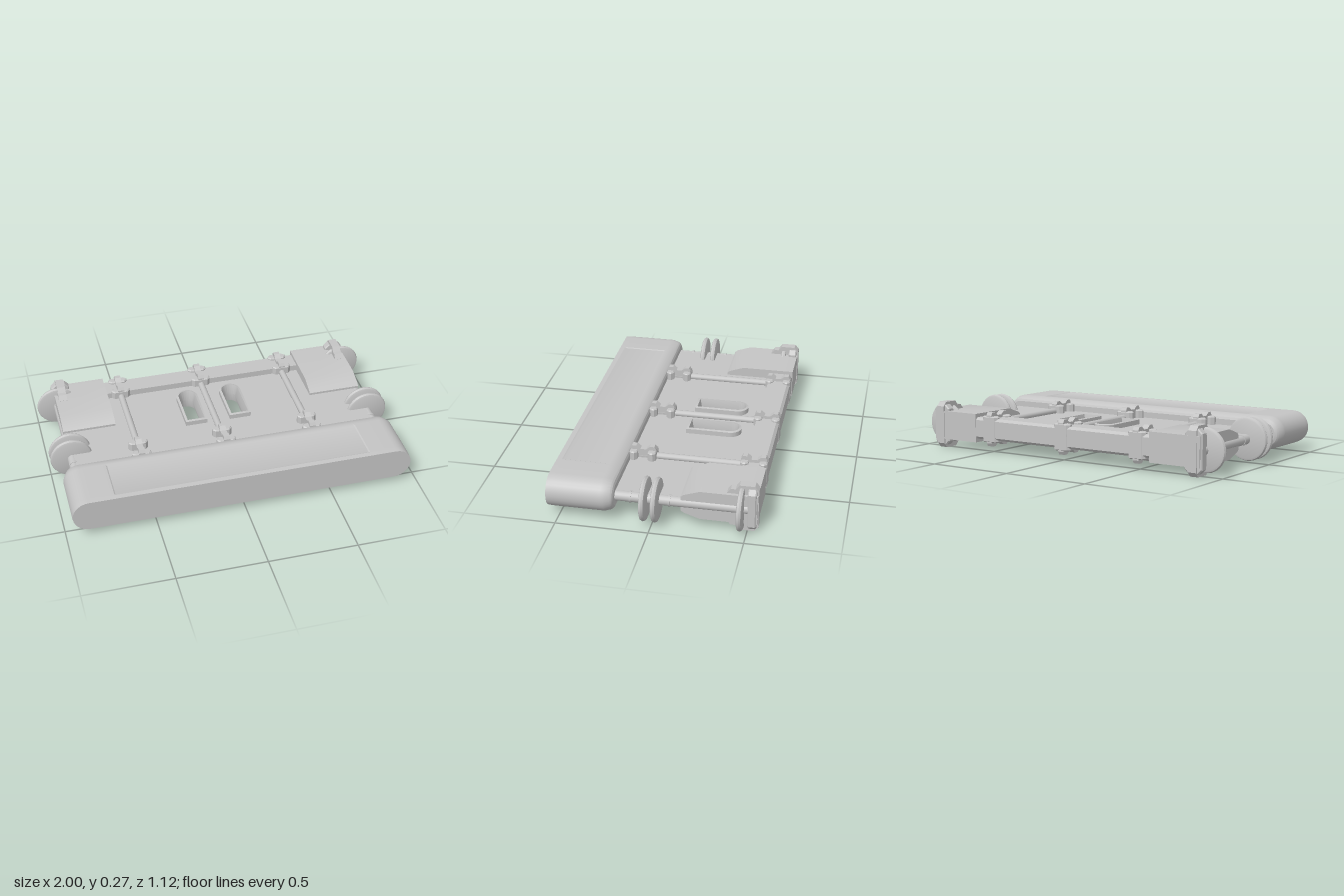
import * as THREE from 'three';
import { toCreasedNormals } from 'three/addons/utils/BufferGeometryUtils.js';

const MID = 0.137; // height of the horizontal mirror plane
const steel = new THREE.MeshStandardMaterial({ color: 0xc4c4c4 });
steel.name = 'grey steel';

function add(parent, name, geo, x = 0, y = 0, z = 0) {
  const m = new THREE.Mesh(geo, steel);
  m.name = name;
  m.position.set(x, y, z);
  parent.add(m);
  return m;
}

// outline in (z, y), extruded along x and centred on x = 0
function extrudeX(pts, width) {
  const s = new THREE.Shape(pts.map(p => new THREE.Vector2(...p)));
  const g = new THREE.ExtrudeGeometry(s, { depth: width, bevelEnabled: false });
  return g.rotateY(-Math.PI / 2).translate(width / 2, 0, 0);
}

// upper half profile of (z, height), mirrored below into a closed outline
function mirrored(half) {
  return [...half, ...half.slice().reverse().map(([z, h]) => [z, -h])];
}

// chamfered block: octagon in (x, y), extruded along z with a small bevel
function octBlock(hw, hh, depth, cut, bevel = 0.006) {
  const w = hw - bevel, h = hh - bevel;
  const pts = [[w, h - cut], [w - cut, h], [cut - w, h], [-w, h - cut],
    [-w, cut - h], [cut - w, -h], [w - cut, -h], [w, cut - h]];
  const s = new THREE.Shape(pts.map(p => new THREE.Vector2(...p)));
  const d = depth - 2 * bevel;
  return new THREE.ExtrudeGeometry(s, {
    depth: d, bevelThickness: bevel, bevelSize: bevel, bevelSegments: 1
  }).translate(0, 0, -d / 2);
}

// skin over a list of rings, each running anticlockwise seen from the first ring's side
function loft(rings, capped, crease) {
  const pos = [], n = rings[0].length, front = rings[0], back = rings[rings.length - 1];
  for (let i = 0; i < n; i++) {
    const j = (i + 1) % n;
    for (let k = 0; k < rings.length - 1; k++) {
      const a = rings[k][i], b = rings[k][j], c = rings[k + 1][j], d = rings[k + 1][i];
      pos.push(...a, ...d, ...c, ...a, ...c, ...b);
    }
    if (capped) {
      pos.push(0, 0, front[0][2], ...front[i], ...front[j]);
      pos.push(0, 0, back[0][2], ...back[j], ...back[i]);
    }
  }
  const g = new THREE.BufferGeometry();
  g.setAttribute('position', new THREE.Float32BufferAttribute(pos, 3));
  return toCreasedNormals(g, crease);
}

// stadium cross-section; dip lowers the middle of the flats
function stadiumRing(r, dip) {
  const cx = 0.867, n = 14, pts = [];
  for (const s of [1, -1]) {
    for (let i = 0; i <= n; i++) {
      const a = -Math.PI / 2 + Math.PI * i / n;
      pts.push([s * (cx + r * Math.cos(a)), s * r * Math.sin(a)]);
    }
    for (const [x, d] of [[0.722, 0], [0.715, dip], [-0.715, dip], [-0.722, 0]]) {
      pts.push([s * x, s * (r - d)]);
    }
  }
  return pts;
}

function frontBeamGeometry() {
  const rings = [[0.558, 0.091, 0], [0.53, 0.093, 0], [0.52, 0.093, 0.004], [0.277, 0.093, 0.004],
    [0.267, 0.093, 0], [0.25, 0.093, 0], [0.215, 0.081, 0], [0.206, 0.073, 0], [0.2, 0.06, 0]]
    .map(([z, r, d]) => stadiumRing(r, d).map(([x, y]) => [x, y, z]));
  return loft(rings, true, 0.4);
}

// arched slot outline in (x, -z), grown by r around a fixed core
function arch(path, cx, r) {
  const low = 0.107 - r, top = 0.287;
  path.moveTo(cx - r, low);
  path.lineTo(cx + r, low);
  path.lineTo(cx + r, top);
  path.absarc(cx, top, r, 0, Math.PI, false);
  path.lineTo(cx - r, low);
  return path;
}

// raised rim whose walls slope in towards the middle of the deck
function slotRimGeometry(cx) {
  const levels = [[0.037, 0], [0.05, 0.058], [0.063, 0.054], [0.063, -0.054], [0.05, -0.058], [0.037, 0]];
  const rings = levels.map(([r, y]) => arch(new THREE.Path(), cx, r).getPoints(12)
    .slice(0, -1).map(p => [p.x, y, -p.y]));
  return loft(rings, false, 0.5);
}

export function createModel() {
  const model = new THREE.Group();
  model.name = 'trackFrame';

  add(model, 'frontBeam', frontBeamGeometry(), 0, MID);

  // thin deck with two arched openings
  const deck = new THREE.Shape();
  deck.moveTo(-0.876, -0.22);
  deck.lineTo(0.876, -0.22);
  deck.lineTo(0.876, 0.5);
  deck.lineTo(-0.876, 0.5);
  for (const x of [-0.131, 0.131]) {
    deck.holes.push(arch(new THREE.Path(), x, 0.05));
    add(model, 'slotRim', slotRimGeometry(x), 0, MID);
  }
  const deckGeo = new THREE.ExtrudeGeometry(deck, { depth: 0.054, bevelEnabled: false, curveSegments: 12 });
  add(model, 'deck', deckGeo.rotateX(-Math.PI / 2), 0, MID - 0.027);

  // rear rail with chamfered back edge
  const rail = mirrored([[-0.42, 0.062], [-0.535, 0.062], [-0.55, 0.048]]);
  add(model, 'rearRail', extrudeX(rail, 1.3), 0, MID);

  // tie rods along the deck, gripped by paired clamps
  const rod = new THREE.CylinderGeometry(0.019, 0.019, 0.6, 12).rotateX(Math.PI / 2);
  const clamp = octBlock(0.055, 0.023, 0.15, 0.012).rotateX(Math.PI / 2);
  const bridge = extrudeX(mirrored([[0.072, 0.08], [0.062, 0.097], [0.038, 0.097], [0.016, 0.079],
    [-0.016, 0.079], [-0.038, 0.097], [-0.062, 0.097], [-0.072, 0.08]]), 0.036);
  for (const x of [-0.503, -0.014, 0.493]) {
    for (const s of [1, -1]) add(model, 'tieRod', rod, x, MID + s * 0.037, -0.12);
    for (const z of [0.133, -0.478]) {
      add(model, 'clampBridge', bridge, x, MID, z);
      for (const s of [1, -1]) add(model, 'clamp', clamp, x, MID, z + s * 0.051);
    }
  }

  // side assemblies
  const block = toCreasedNormals(extrudeX(mirrored([[-0.15, 0.04], [-0.165, 0.053], [-0.25, 0.082],
    [-0.553, 0.082]]), 0.305), 0.45);
  const hook = extrudeX(mirrored([[-0.39, 0.083], [-0.41, 0.108], [-0.435, 0.108], [-0.455, 0.133],
    [-0.535, 0.133], [-0.557, 0.108]]), 0.048);
  const band = octBlock(0.053, 0.118, 0.046, 0.02);
  const axle = new THREE.CylinderGeometry(0.028, 0.028, 0.74, 20).rotateX(Math.PI / 2);
  const collar = new THREE.CylinderGeometry(0.031, 0.031, 0.012, 20).rotateX(Math.PI / 2);
  const discProfile = [[0, -0.015], [0.105, -0.015], [0.115, -0.011], [0.12, 0],
    [0.115, 0.011], [0.105, 0.015], [0, 0.015]].map(p => new THREE.Vector2(...p));
  const disc = toCreasedNormals(new THREE.LatheGeometry(discProfile, 40).rotateX(Math.PI / 2), 0.6);
  for (const s of [1, -1]) {
    const side = new THREE.Group();
    side.name = s > 0 ? 'leftSide' : 'rightSide';
    model.add(side);
    add(side, 'cornerBlock', block, s * 0.742, MID, 0);
    add(side, 'cornerHook', hook, s * 0.852, MID, 0);
    add(side, 'cornerBand', band, s * 0.852, MID, -0.524);
    add(side, 'axle', axle, s * 0.876, MID, -0.14);
    for (const z of [0.118, 0.01, -0.09]) add(side, 'axleCollar', collar, s * 0.876, MID, z);
    for (const z of [0.04, -0.022, -0.468]) add(side, 'disc', disc, s * 0.88, MID, z);
  }
  return model;
}
